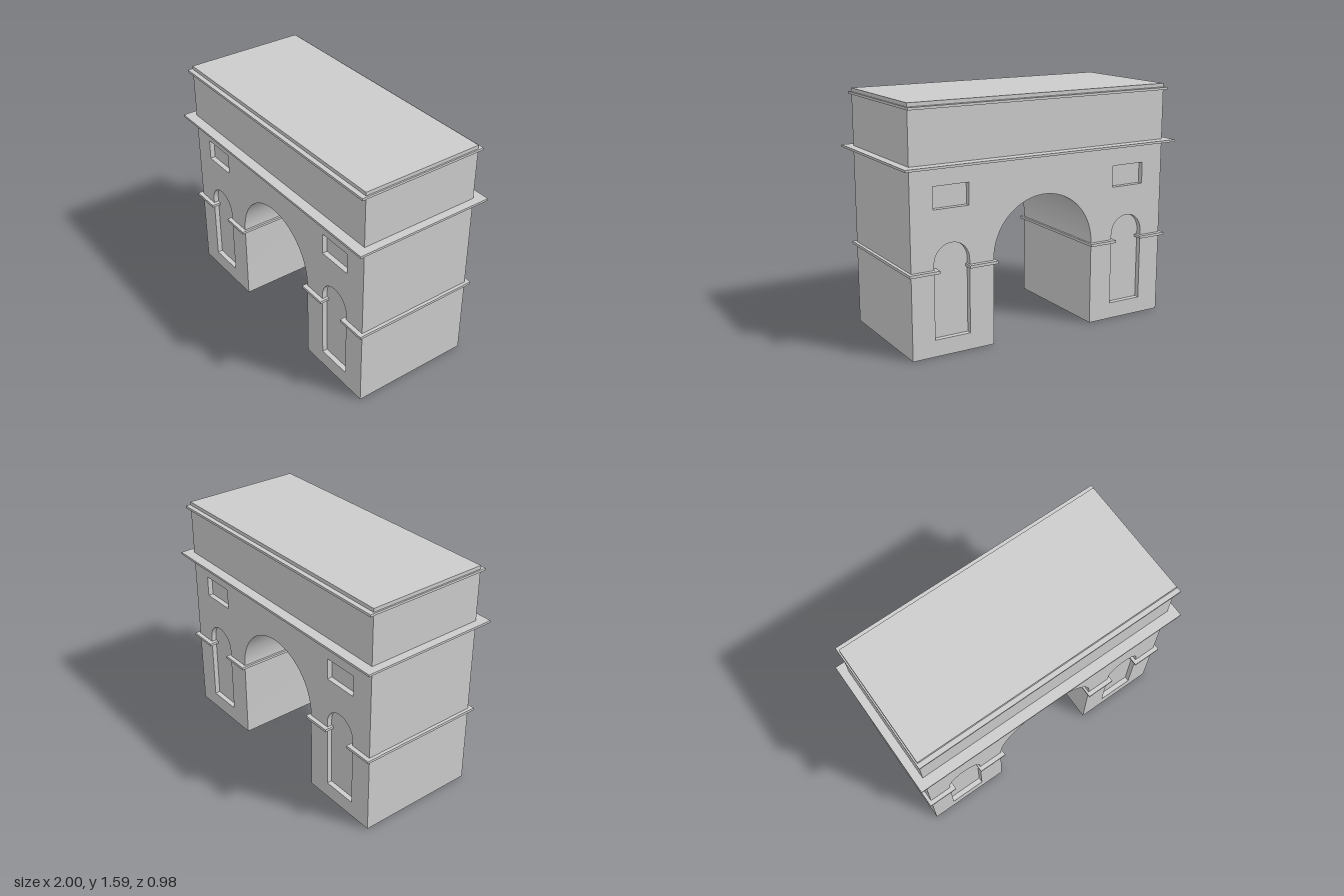
import * as THREE from 'three';
import { mergeGeometries, toCreasedNormals } from 'three/addons/utils/BufferGeometryUtils.js';

const W = 0.945, H = 1.59, D = 0.42; // half width, height, half depth
const ARCH_R = 0.373, SPRING = 0.568;
const RECESS = 0.035;

const mat = new THREE.MeshStandardMaterial({ color: 0xcccccc });

// Walls swept along z from a counter-clockwise loop, facing outward (or inward)
function wallsOf(points, z0, z1, inward = false) {
  const pos = [];
  points.forEach((p, i) => {
    const q = points[(i + 1) % points.length];
    if (p.distanceTo(q) < 1e-6) return;
    const [a, b] = inward ? [q, p] : [p, q];
    pos.push(a.x, a.y, z1, a.x, a.y, z0, b.x, b.y, z0);
    pos.push(a.x, a.y, z1, b.x, b.y, z0, b.x, b.y, z1);
  });
  const g = new THREE.BufferGeometry();
  g.setAttribute('position', new THREE.Float32BufferAttribute(pos, 3));
  return toCreasedNormals(g, 0.5);
}

// Flat face at depth z, looking towards +z
function faceOf(shape, z) {
  const g = new THREE.ShapeGeometry(shape, 32).toNonIndexed().translate(0, 0, z);
  g.deleteAttribute('uv');
  return g;
}

// Elevation outline with the large central arch
function outline() {
  const s = new THREE.Shape();
  s.moveTo(ARCH_R, 0);
  s.lineTo(W, 0);
  s.lineTo(W, H);
  s.lineTo(-W, H);
  s.lineTo(-W, 0);
  s.lineTo(-ARCH_R, 0);
  s.lineTo(-ARCH_R, SPRING);
  s.absarc(0, SPRING, ARCH_R, Math.PI, 0, true);
  s.closePath();
  return s;
}

// Round-headed niche
function niche(cx) {
  const r = 0.1225, s = new THREE.Shape();
  s.moveTo(cx - r, 0.11);
  s.lineTo(cx + r, 0.11);
  s.lineTo(cx + r, 0.597);
  s.absarc(cx, 0.597, r, 0, Math.PI, false);
  s.closePath();
  return s;
}

// Rectangular panel
function panel(x0, x1, y0, y1) {
  const s = new THREE.Shape();
  s.moveTo(x0, y0);
  s.lineTo(x1, y0);
  s.lineTo(x1, y1);
  s.lineTo(x0, y1);
  s.closePath();
  return s;
}

export function createModel() {
  const model = new THREE.Group();
  model.name = 'triumphalArch';

  const add = (parent, name, geometry) => {
    const m = new THREE.Mesh(geometry, mat);
    m.name = name;
    parent.add(m);
    return m;
  };
  const addBox = (name, x0, x1, y0, y1, halfDepth) =>
    add(model, name, new THREE.BoxGeometry(x1 - x0, y1 - y0, halfDepth * 2))
      .position.set((x0 + x1) / 2, (y0 + y1) / 2, 0);

  // Ends, roof, undersides and vault
  add(model, 'bodyWalls', wallsOf(outline().getPoints(32), -D, D));

  // Facades with sunken niches and panels, front and back
  const recesses = [
    ['leftNiche', niche(0.6625)],
    ['rightNiche', niche(-0.6675)],
    ['leftPanel', panel(0.54, 0.785, 0.922, 1.067)],
    ['rightPanel', panel(-0.79, -0.545, 0.937, 1.08)],
  ];
  for (const side of ['front', 'back']) {
    const facade = new THREE.Group();
    facade.name = side + 'Facade';
    if (side === 'back') facade.rotation.y = Math.PI;
    const wall = outline();
    wall.holes = recesses.map(([, s]) => s);
    add(facade, side + 'Wall', faceOf(wall, D));
    for (const [name, s] of recesses) {
      const reveal = wallsOf(s.getPoints(32), D - RECESS, D, true);
      add(facade, name, mergeGeometries([reveal, faceOf(s, D - RECESS)]));
    }
    model.add(facade);
  }

  // Impost ledges on the piers, broken at the niches
  for (const s of [-1, 1]) {
    const side = s > 0 ? 'left' : 'right';
    for (const [name, a, b] of [['InnerImpost', 0.358, 0.558], ['OuterImpost', 0.763, 0.967]])
      addBox(side + name, Math.min(a * s, b * s), Math.max(a * s, b * s), 0.542, 0.56, 0.45);
  }

  // Cornices
  addBox('mainCornice', -1, 1, 1.198, 1.213, 0.49);
  addBox('atticCornice', -0.955, 0.955, 1.55, 1.566, 0.452);

  return model;
}
